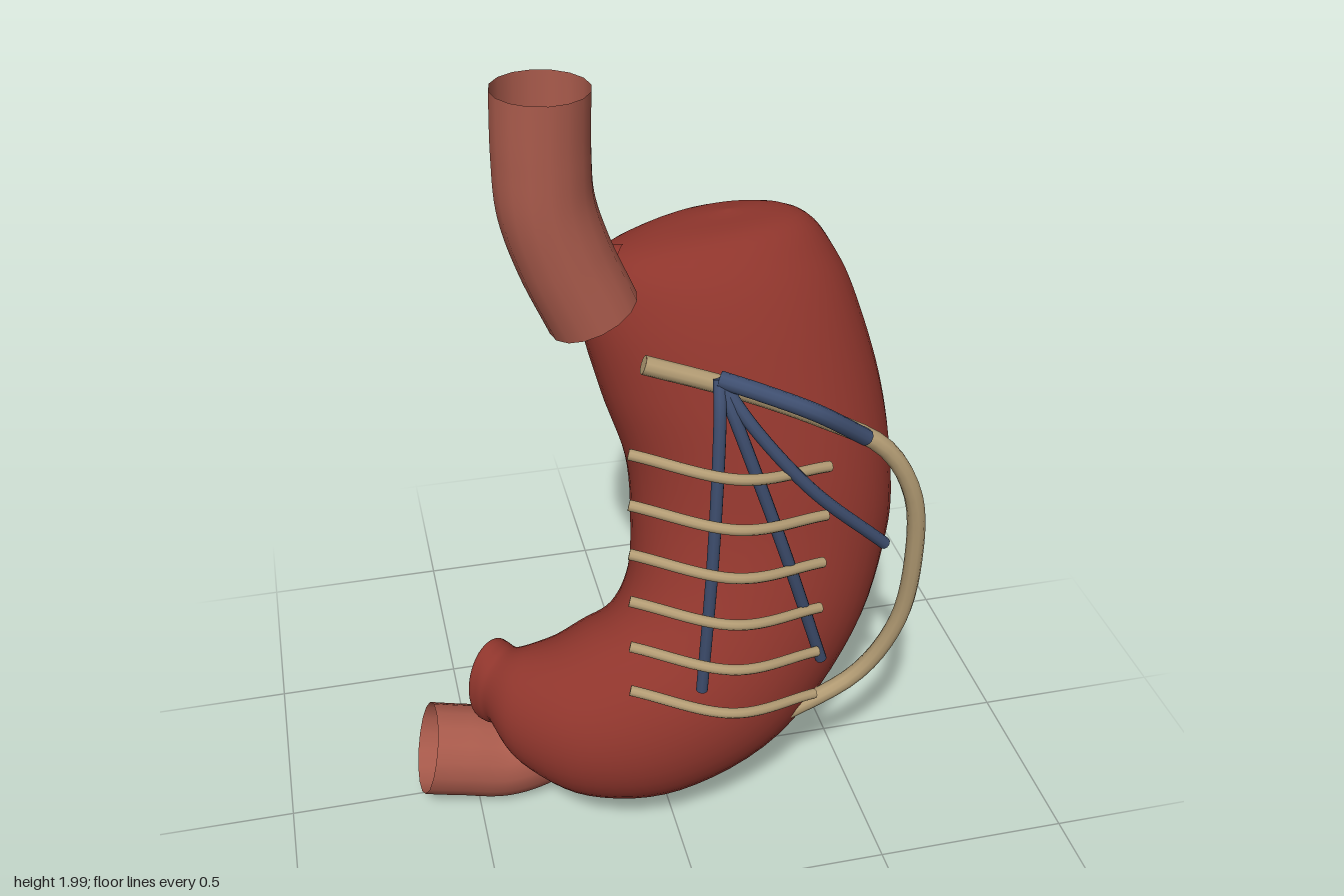
import * as THREE from 'three';

const V = (p) => new THREE.Vector3(...p);
const mat = (name, color, side = THREE.FrontSide) => {
  const m = new THREE.MeshStandardMaterial({ color, side });
  m.name = name;
  return m;
};

// Each section: inner edge x,y,z, outer edge x,y,z, half depth
const SECTIONS = [
  [0.2495, 1.54, -0.265, 0.2505, 1.54, -0.265, 0.0005],
  [0.04, 1.5, -0.275, 0.43, 1.525, -0.255, 0.125],
  [-0.1, 1.43, -0.275, 0.52, 1.42, -0.225, 0.205],
  [-0.135, 1.3, -0.25, 0.575, 1.28, -0.175, 0.25],
  [-0.1, 1.12, -0.175, 0.625, 1.08, -0.125, 0.272],
  [-0.05, 0.95, -0.1, 0.64, 0.88, -0.06, 0.275],
  [-0.05, 0.8, -0.035, 0.62, 0.7, -0.005, 0.27],
  [-0.07, 0.69, 0.03, 0.51, 0.46, 0.09, 0.262],
  [-0.12, 0.62, 0.075, 0.28, 0.23, 0.19, 0.25],
  [-0.2, 0.59, 0.09, 0, 0.135, 0.245, 0.232],
  [-0.28, 0.56, 0.1, -0.23, 0.155, 0.235, 0.195],
  [-0.36, 0.54, 0.095, -0.365, 0.225, 0.16, 0.135],
  [-0.41, 0.525, 0.075, -0.41, 0.295, 0.085, 0.09],
  [-0.435, 0.538, 0.055, -0.435, 0.285, 0.055, 0.083],
  [-0.448, 0.525, 0.037, -0.448, 0.298, 0.037, 0.075],
  [-0.452, 0.4125, 0.033, -0.452, 0.4115, 0.033, 0.0005],
];

// Smooth sack swept through the sections
function sackGeometry(rows = 90, sides = 40) {
  const spline = (f) => new THREE.CatmullRomCurve3(SECTIONS.map((s) => V(f(s))), false, 'catmullrom', 0.5);
  const inner = spline((s) => s.slice(0, 3));
  const outer = spline((s) => s.slice(3, 6));
  const depth = spline((s) => [s[6], 0, 0]);
  const centre = (t) => {
    const k = THREE.MathUtils.clamp(t, 0, 1);
    return inner.getPoint(k).add(outer.getPoint(k)).multiplyScalar(0.5);
  };
  const pos = [], idx = [];
  for (let j = 0; j <= rows; j++) {
    const t = j / rows;
    const c = centre(t);
    const u = outer.getPoint(t).sub(inner.getPoint(t)).multiplyScalar(0.5);
    const tangent = centre(t + 0.05).sub(centre(t - 0.05));
    const d = tangent.cross(u).normalize().multiplyScalar(Math.max(0.0004, depth.getPoint(t).x));
    for (let i = 0; i < sides; i++) {
      const a = (i / sides) * Math.PI * 2;
      const p = c.clone().addScaledVector(u, Math.cos(a)).addScaledVector(d, Math.sin(a));
      pos.push(p.x, p.y, p.z);
      if (j < rows) {
        const n = (i + 1) % sides, r = j * sides, q = r + sides;
        idx.push(r + i, r + n, q + i, r + n, q + n, q + i);
      }
    }
  }
  const g = new THREE.BufferGeometry();
  g.setAttribute('position', new THREE.Float32BufferAttribute(pos, 3));
  g.setIndex(idx);
  g.computeVertexNormals();
  return g;
}

// Round tube along a path, with optional flat end discs
function tube(name, points, radius, material, capped = true, sides = 10) {
  const group = new THREE.Group();
  group.name = name;
  const curve = new THREE.CatmullRomCurve3(points.map(V));
  group.add(new THREE.Mesh(new THREE.TubeGeometry(curve, 40, radius, sides), material));
  if (capped) {
    for (const [t, s] of [[0, -1], [1, 1]]) {
      const cap = new THREE.Mesh(new THREE.CircleGeometry(radius, sides), material);
      cap.position.copy(curve.getPoint(t));
      cap.quaternion.setFromUnitVectors(V([0, 0, 1]), curve.getTangent(t).multiplyScalar(s));
      group.add(cap);
    }
  }
  group.children.forEach((m) => { m.name = name; });
  return group;
}

export function createModel() {
  const model = new THREE.Group();
  model.name = 'stomach';
  const red = mat('stomach red', 0x8e352c);
  const pink = mat('tube pink', 0xaa5b4c, THREE.DoubleSide);
  const tan = mat('nerve tan', 0xb39c74);
  const blue = mat('vessel blue', 0x3f4f70);

  const sack = new THREE.Mesh(sackGeometry(), red);
  sack.name = 'stomachBody';
  model.add(sack);

  // Short flared inlet stub on the upper inner side
  const profile = [[0.12, -0.08], [0.105, -0.03], [0.088, 0.015], [0.084, 0.04], [0.096, 0.062], [0.095, 0.08], [0.075, 0.092], [0, 0.095]];
  const stub = new THREE.Mesh(new THREE.LatheGeometry(profile.map((p) => new THREE.Vector2(...p)), 28), red);
  stub.name = 'inletStub';
  stub.scale.z = 0.58;
  stub.position.set(-0.115, 1.385, -0.262);
  // Local y points out of the stub, local x stays upright
  const out = V([-0.78, 0.12, -0.42]).normalize();
  const flat = out.clone().cross(V([0, 1, 0])).normalize();
  const up = flat.clone().cross(out);
  stub.quaternion.setFromRotationMatrix(new THREE.Matrix4().makeBasis(up, out, up.clone().cross(out)));
  model.add(stub);

  // Open pipes above and below
  model.add(tube('upperPipe', [[-0.255, 2, 0.015], [-0.258, 1.85, 0.015], [-0.252, 1.73, 0.015], [-0.215, 1.6, 0.015], [-0.15, 1.445, 0.015]], 0.112, pink, false, 16));
  model.add(tube('lowerPipe', [[-0.625, 0.18, 0.013], [-0.53, 0.155, 0.013], [-0.41, 0.13, 0.013], [-0.28, 0.178, 0.013], [-0.1, 0.34, 0.013]], 0.122, pink, false, 16));

  // Long nerve following the outer curve
  model.add(tube('outerNerve', [
    [-0.1, 1.472, 0.325], [0.1, 1.4, 0.35], [0.3, 1.31, 0.375], [0.45, 1.22, 0.39], [0.53, 1.08, 0.39],
    [0.558, 0.88, 0.37], [0.545, 0.65, 0.335], [0.46, 0.47, 0.3], [0.26, 0.35, 0.285],
  ], 0.022, tan));

  // Row of short bowed fibres
  for (let i = 0; i < 6; i++) {
    const y = 1.275 - i * 0.137;
    model.add(tube('crossFibre' + (i + 1), [[-0.145, y, 0.37], [0.09, y - 0.051, 0.45], [0.328, y - 0.102, 0.37]], 0.013, tan));
  }

  // Vessels fanning out from one point
  const root = [0.06, 1.44, 0.37];
  const vessels = [
    [[0.055, 1.37, 0.4], [0.045, 1, 0.41], [0.034, 0.563, 0.375]],
    [[0.09, 1.35, 0.4], [0.21, 1, 0.4], [0.35, 0.575, 0.34]],
    [[0.13, 1.33, 0.41], [0.27, 1.15, 0.42], [0.48, 0.93, 0.37]],
    [[0.14, 1.42, 0.41], [0.26, 1.37, 0.44], [0.4, 1.26, 0.4]],
  ];
  vessels.forEach((p, i) => model.add(tube('vessel' + (i + 1), [root, ...p], i === 3 ? 0.02 : 0.015, blue)));

  return model;
}
